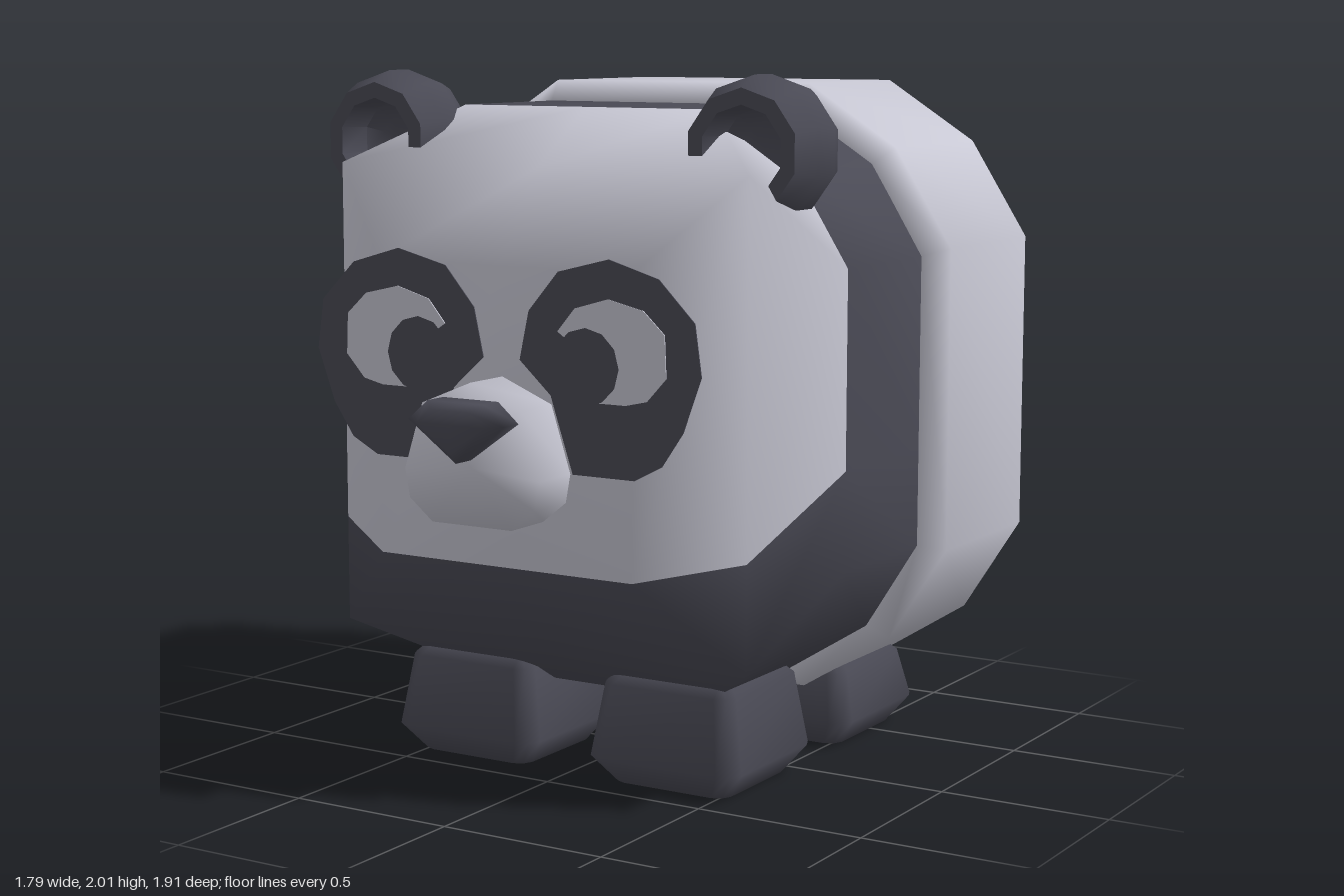
import * as THREE from 'three';
import { mergeVertices, toCreasedNormals } from 'three/addons/utils/BufferGeometryUtils.js';

const CY = 1.075; // height of the body centre

// Eight-sided ring: flat sides at w, half side length f, corner point at m
function octagon(w, m, f) {
  const quarter = [[w, f], [m, m], [f, w]];
  const pts = [];
  for (let q = 0; q < 4; q++) {
    for (const [a, b] of quarter) {
      pts.push([[a, b], [-b, a], [-a, -b], [b, -a]][q]);
    }
  }
  return pts;
}

const square = (s) => [[s, -s], [s, s], [-s, s], [-s, -s]];

// Smooth skin through counter-clockwise rings stacked along +z
function loft(rings) {
  const n = rings[0].pts.length, pos = [], index = [];
  rings.forEach(({ pts, z }) => pts.forEach(([a, b]) => pos.push(a, b, z)));
  for (let j = 0; j < rings.length - 1; j++) {
    for (let i = 0; i < n; i++) {
      const a = j * n + i, b = j * n + (i + 1) % n;
      index.push(a, b, b + n, a, b + n, a + n);
    }
  }
  [0, rings.length - 1].forEach((j, end) => {
    const { pts, z } = rings[j], c = pos.length / 3;
    const sum = pts.reduce((s, p) => [s[0] + p[0] / n, s[1] + p[1] / n], [0, 0]);
    pos.push(sum[0], sum[1], z);
    for (let i = 0; i < n; i++) {
      const a = j * n + i, b = j * n + (i + 1) % n;
      if (end) index.push(c, a, b);
      else index.push(c, b, a);
    }
  });
  const g = new THREE.BufferGeometry();
  g.setAttribute('position', new THREE.Float32BufferAttribute(pos, 3));
  g.setIndex(index);
  g.computeVertexNormals();
  return g;
}

// Bevelled head: panels for the +x half, mirrored, first light then dark
function headGeometry() {
  const W = 0.832, M = 0.67, F = 0.415, Z0 = -0.17, Z1 = 0.285, Z2 = 0.54, Z3 = 0.71;
  const cheek = [W, -0.135, Z1], jaw = [M, -0.365, Z2], chin = [F, -F, Z3];
  const corner = (s) => [
    [[W, s * F, Z1], [M, s * M, Z1], [M, s * M, Z2]],
    [[M, s * M, Z1], [F, s * W, Z1], [M, s * M, Z2]],
    [[0, s * W, Z1], [F, s * W, Z1], [M, s * M, Z2], [0, s * M, Z2]],
    [[0, s * M, Z2], [M, s * M, Z2], [F, s * F, Z3], [0, s * F, Z3]],
  ];
  const light = [
    [[W, F, Z1], [M, M, Z2], jaw, cheek],
    [[M, M, Z2], [F, F, Z3], chin, jaw],
    [[0, -F, Z3], chin, [F, F, Z3], [0, F, Z3]],
    ...corner(1),
  ];
  const dark = [
    [cheek, jaw, [M, -M, Z2], [W, -F, Z1]],
    [jaw, chin, [M, -M, Z2]],
    ...corner(-1),
  ];
  // straight band behind the face
  const band = [[0, W], [F, W], [M, M], [W, F], [W, -0.135], [W, -F], [M, -M], [F, -W], [0, -W]];
  for (let i = 0; i < band.length - 1; i++) {
    const [a, b] = [band[i], band[i + 1]];
    dark.push([[...a, Z1], [...b, Z1], [...b, Z0], [...a, Z0]]);
  }
  const pos = [], centre = new THREE.Vector3(0, 0, 0.15);
  const addPanel = (panel) => {
    for (const side of [1, -1]) {
      const v = panel.map(([x, y, z]) => new THREE.Vector3(side * x, y, z));
      const normal = v[1].clone().sub(v[0]).cross(v[2].clone().sub(v[0]));
      const mid = v.reduce((s, p) => s.add(p), new THREE.Vector3()).divideScalar(v.length);
      if (normal.dot(mid.sub(centre)) < 0) v.reverse();
      for (let i = 1; i < v.length - 1; i++) {
        for (const p of [v[0], v[i], v[i + 1]]) pos.push(p.x, p.y, p.z);
      }
    }
  };
  light.forEach(addPanel);
  const split = pos.length / 3;
  dark.forEach(addPanel);
  let g = new THREE.BufferGeometry();
  g.setAttribute('position', new THREE.Float32BufferAttribute(pos, 3));
  g = mergeVertices(g);
  g.clearGroups();
  g.addGroup(0, split, 0);
  g.addGroup(split, pos.length / 3 - split, 1);
  g.computeVertexNormals();
  return g;
}

export function createModel() {
  const model = new THREE.Group();
  const white = new THREE.MeshStandardMaterial({ color: 0xc8c8d4 });
  white.name = 'pale fur';
  const black = new THREE.MeshStandardMaterial({ color: 0x4a4a55 });
  black.name = 'dark fur';
  const add = (name, geometry, material, x = 0, y = 0, z = 0) => {
    const mesh = new THREE.Mesh(geometry, material);
    mesh.name = name;
    mesh.position.set(x, y, z);
    model.add(mesh);
    return mesh;
  };

  // Head and shoulders, hindquarters and raised rump
  add('head', headGeometry(), [white, black], 0, CY);
  const wide = octagon(0.893, 0.715, 0.435), narrow = octagon(0.832, 0.665, 0.415);
  add('hindBody', loft([
    { pts: narrow, z: -0.82 }, { pts: wide, z: -0.75 },
    { pts: wide, z: -0.23 }, { pts: narrow, z: -0.165 },
  ]), white, 0, CY);
  add('rump', loft([{ pts: square(0.42), z: -0.957 }, { pts: square(0.625), z: -0.815 }]), white, 0, CY);

  // Feet: chamfered blocks, front pair taller
  const foot = (h) => loft([[0.185, 0], [0.245, 0.08], [0.212, h - 0.04], [0.17, h]].map(
    ([w, z]) => ({ pts: octagon(w, w * 0.93, w * 0.78), z }))).rotateX(-Math.PI / 2);
  // Ears: hollow bowls opening forward
  const earProfile = [[0, -0.135], [0.13, -0.135], [0.18, -0.09], [0.203, -0.03], [0.203, 0.06],
    [0.17, 0.135], [0.125, 0.135], [0.115, 0.03], [0.07, 0], [0, 0]];
  const ear = toCreasedNormals(new THREE.LatheGeometry(
    earProfile.map(([r, a]) => new THREE.Vector2(r, a)), 10).rotateX(Math.PI / 2), 0.9);

  // Eye outlines for the +x side
  const patch = [[0.06, 1.24], [0.16, 1.15], [0.23, 0.94], [0.425, 0.94], [0.51, 0.985], [0.575, 1.08],
    [0.63, 1.23], [0.61, 1.37], [0.5, 1.48], [0.345, 1.525], [0.185, 1.485], [0.09, 1.375]];
  const eyeWhite = [[0.275, 1.14], [0.4, 1.14], [0.465, 1.155], [0.525, 1.22], [0.52, 1.335],
    [0.455, 1.395], [0.345, 1.42], [0.24, 1.39], [0.185, 1.325], [0.215, 1.305], [0.275, 1.33]];
  const plate = (pts, side) => new THREE.ExtrudeGeometry(
    new THREE.Shape(pts.map(([x, y]) => new THREE.Vector2(side * x, y))),
    { depth: 0.003, bevelEnabled: false });

  for (const side of [1, -1]) {
    const label = side > 0 ? 'left' : 'right';
    add(label + 'FrontFoot', foot(0.33), black, side * 0.335, 0, 0.21);
    add(label + 'BackFoot', foot(0.26), black, side * 0.335, 0, -0.46);
    add(label + 'Ear', ear, black, side * 0.605, 1.803, 0.335);
    add(label + 'EyePatch', plate(patch, side), black, 0, 0, 0.711);
    add(label + 'EyeWhite', plate(eyeWhite, side), white, 0, 0, 0.715);
    add(label + 'Pupil', new THREE.CircleGeometry(0.105, 12), black, side * 0.275, 1.235, 0.72);
  }

  // Muzzle and nose
  const mirrorOutline = (half) => [...half, ...half.filter(([x]) => x > 0).reverse().map(([x, y]) => [-x, y])];
  const muzzle = mirrorOutline([[0.13, 0.8], [0.205, 0.86], [0.22, 0.94], [0.16, 1.125], [0, 1.19]]);
  add('muzzle', loft([{ pts: muzzle, z: 0.7 }, { pts: muzzle, z: 0.86 }]), white);
  const nose = mirrorOutline([[0, 0.98], [0.155, 1.09], [0.09, 1.145]]);
  add('nose', loft([
    { pts: nose, z: 0.855 }, { pts: nose, z: 0.93 },
    { pts: nose.map(([x, y]) => [x * 0.7, 1.08 + (y - 1.08) * 0.7]), z: 0.957 },
  ]), black);

  return model;
}
